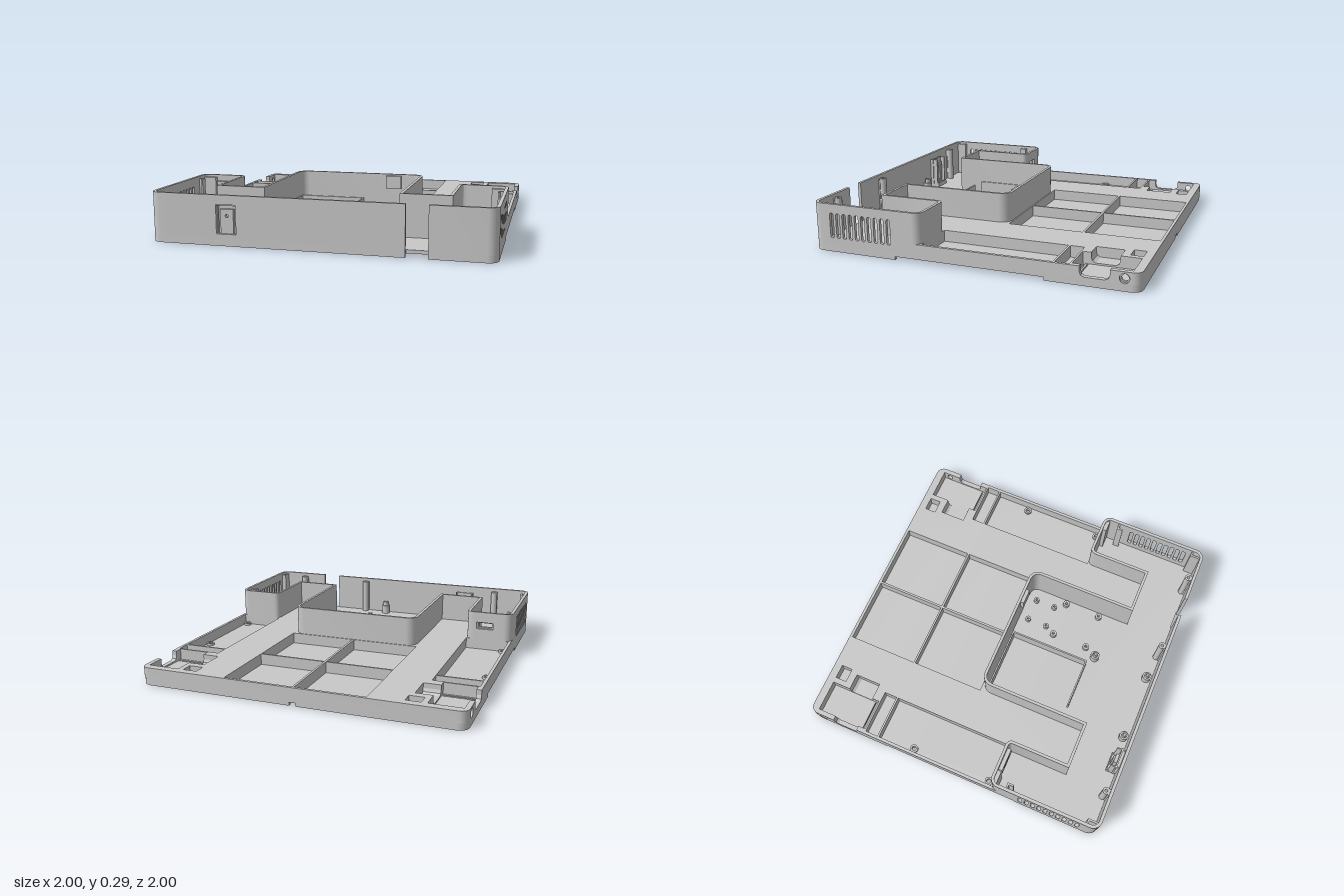
import * as THREE from 'three';
import { toCreasedNormals } from 'three/addons/utils/BufferGeometryUtils.js';

const FLOOR = 0.04, DECK = 0.11, TOP = 0.295;

export function createModel() {
  const model = new THREE.Group();
  model.name = 'enclosureBase';
  const grey = new THREE.MeshStandardMaterial({ color: 0xc8c8c8 });
  grey.name = 'light grey plastic';

  const add = (name, geometry) => {
    const mesh = new THREE.Mesh(toCreasedNormals(geometry, 0.5), grey);
    mesh.name = name;
    model.add(mesh);
    return mesh;
  };

  // Points are [a, b, cornerRadius]; right-angled corners become arcs
  const rounded = (pts, closed) => {
    const out = [];
    pts.forEach(([x, y, r = 0], i) => {
      const p = new THREE.Vector2(x, y);
      if (!r || (!closed && (i === 0 || i === pts.length - 1))) return out.push(p);
      const n = pts.length;
      const toward = (q) => new THREE.Vector2(q[0], q[1]).sub(p).setLength(r).add(p);
      const a = toward(pts[(i + n - 1) % n]), b = toward(pts[(i + 1) % n]);
      for (let k = 0; k <= 8; k++) {
        const t = k / 8, u = (1 - t) ** 2, v = 2 * t * (1 - t) * Math.SQRT1_2, w = t * t;
        out.push(a.clone().multiplyScalar(u).addScaledVector(p, v).addScaledVector(b, w)
          .divideScalar(u + v + w));
      }
    });
    return out;
  };
  // Closed shape, always wound counter-clockwise so that hole walls face inward
  const outline = (pts) => {
    const ps = rounded(pts, true);
    return new THREE.Shape(THREE.ShapeUtils.isClockWise(ps) ? ps.reverse() : ps);
  };
  const rect = (a0, a1, b0, b1) => [[a0, b0], [a1, b0], [a1, b1], [a0, b1]];
  const circle = (x, y, r) => new THREE.Path().absarc(x, y, r, 0, Math.PI * 2);
  const extrude = (shape, depth) =>
    new THREE.ExtrudeGeometry(shape, { depth, bevelEnabled: false, curveSegments: 12 });

  // Horizontal layer: shape lies in x, z
  const slab = (name, shape, y0, y1) =>
    add(name, extrude(shape, y1 - y0).rotateX(Math.PI / 2).translate(0, y1, 0));
  // Side panel: shape lies in z, y; s picks the left or right side
  const sidePanel = (name, shape, s, x0, x1) =>
    add(name, extrude(shape, x1 - x0).rotateY(-Math.PI / 2).translate(s > 0 ? x1 : -x0, 0, 0));
  // Front panel: shape lies in x, y
  const frontPanel = (name, shape, z0, z1) =>
    add(name, extrude(shape, z1 - z0).translate(0, 0, z0));
  const box = (name, x0, x1, y0, y1, z0, z1) =>
    add(name, new THREE.BoxGeometry(Math.abs(x1 - x0), y1 - y0, z1 - z0)
      .translate((x0 + x1) / 2, (y0 + y1) / 2, (z0 + z1) / 2));
  const ring = (name, x, z, ro, ri, y0, y1) => {
    const s = new THREE.Shape().absarc(x, z, ro, 0, Math.PI * 2);
    s.holes.push(circle(x, z, ri));
    return slab(name, s, y0, y1);
  };
  // Upright wall of even thickness along a path in x, z
  const wall = (name, pts, t, y0, y1) => {
    const path = rounded(pts, false), left = [], right = [];
    path.forEach((p, i) => {
      const d0 = p.clone().sub(path[i - 1] ?? p).normalize();
      const d1 = (path[i + 1] ?? p).clone().sub(p).normalize();
      const a = i ? d0 : d1, b = i < path.length - 1 ? d1 : d0;
      const dir = a.clone().add(b).normalize();
      const off = new THREE.Vector2(-dir.y, dir.x).multiplyScalar(t / 2 / dir.dot(a));
      left.push(p.clone().add(off));
      right.unshift(p.clone().sub(off));
    });
    return slab(name, new THREE.Shape([...left, ...right]), y0, y1);
  };
  // A half profile listed on +x, continued by its mirror image
  const mirrored = (half) => [...half, ...half.map(([x, z, r]) => [-x, z, r]).reverse()];

  // Foot rim with gaps at the sides, front and back
  const R = 0.05;
  wall('footRimFront', [[0.99, 0.45], [0.99, 0.99, R], [0.63, 0.99]], 0.02, 0, 0.02);
  wall('footRimFront', [[0.505, 0.99], [-0.99, 0.99, R], [-0.99, 0.45]], 0.02, 0, 0.02);
  for (const s of [1, -1])
    wall('footRimBack', [[s * 0.02, -0.99], [s * 0.99, -0.99, R], [s * 0.99, -0.465]], 0.02, 0, 0.02);

  // Floor plate with screw holes, latch slots and the cable notch
  const floor = outline([[-1, -1, 0.06], [1, -1, 0.06], [1, 1, 0.06], [0.63, 1], [0.63, 0.975],
    [0.505, 0.975], [0.505, 1], [-1, 1, 0.06]]);
  for (const s of [1, -1]) {
    for (const z of [-0.278, 0.253]) floor.holes.push(circle(s * 0.952, z, 0.014));
    floor.holes.push(outline(rect(s * 0.775, s * 0.965, -0.65, -0.643)));
    floor.holes.push(outline(rect(s * 0.775, s * 0.968, -0.632, -0.621)));
  }
  slab('floorPlate', floor, 0.02, FLOOR);

  // Raised deck with latch cut-outs and pockets
  const deck = outline(mirrored([
    [0.42, -0.02, 0.06], [0.42, 0.685], [0.708, 0.685], [0.708, 0.29], [0.982, 0.29],
    [0.982, 0.34], [1, 0.34], [1, -0.663], [0.97, -0.663], [0.97, -0.615], [0.77, -0.615],
    [0.77, -0.663], [0.665, -0.663], [0.665, -0.83], [0.77, -0.83], [0.77, -0.95],
    [1, -0.95], [1, -1, 0.05],
  ]));
  for (const s of [1, -1]) {
    for (const [z0, z1] of [[-0.982, -0.523], [-0.51, -0.036]])
      deck.holes.push(outline(rect(s * 0.007, s * 0.437, z0, z1)));
    for (const [z0, z1] of [[-0.604, -0.52], [-0.508, 0.279]])
      deck.holes.push(outline(rect(s * 0.7, s * 0.981, z0, z1)));
    deck.holes.push(outline(rect(s * 0.645, s * 0.735, -0.95, -0.877)));
  }
  slab('deck', deck, FLOOR, DECK);

  for (const s of [1, -1]) {
    // Latch seat: rounded groove ends and stepped pivot plate
    const groove = new THREE.Shape([[-0.83, FLOOR], [-0.663, FLOOR], [-0.663, 0.08], [-0.67, 0.06],
      [-0.688, 0.05], [-0.805, 0.05], [-0.823, 0.06], [-0.83, 0.08]]
      .map((p) => new THREE.Vector2(...p)));
    sidePanel('latchGroove', groove, s, 0.665, 0.77);
    sidePanel('latchGroove', groove, s, 0.97, 1);
    for (const [r, x0, x1] of [[0.02, 0.97, 0.985], [0.028, 0.985, 1]]) {
      const pivot = outline(rect(-0.95, -0.83, FLOOR, DECK));
      pivot.holes.push(circle(-0.909, 0.072, r));
      sidePanel('latchPivotPlate', pivot, s, x0, x1);
    }

    // Screw bosses in the side pockets
    for (const z of [-0.278, 0.253]) ring('sideScrewBoss', s * 0.952, z, 0.026, 0.014, FLOOR, 0.055);

    // Vented side wall
    const side = outline(rect(0.34, 0.9, FLOOR, TOP));
    for (let i = 0; i < 10; i++) {
      const z = 0.869 - i * 0.0424;
      side.holes.push(new THREE.Path().absarc(z, 0.227, 0.0125, 0, Math.PI)
        .absarc(z, 0.098, 0.0125, Math.PI, Math.PI * 2));
    }
    sidePanel('ventedSideWall', side, s, 0.98, 1);

    // Corner tabs inside the walls
    wall('cornerTab', [[s * 0.98, 0.39], [s * 0.95, 0.39], [s * 0.95, 0.425]], 0.012, FLOOR, 0.28);
    wall('cornerTab', [[s * 0.98, 0.92], [s * 0.955, 0.92], [s * 0.955, 0.98]], 0.012, FLOOR, 0.28);
    box('cornerRail', s * 0.9, s * 0.98, FLOOR, 0.28, 0.297, 0.322);
  }

  // Inner wall that steps round the two bays
  const bay = [[0.75, 0.288], [0.708, 0.288, 0.03], [0.708, 0.685], [0.42, 0.685], [0.42, -0.02, 0.06]];
  wall('bayWall', mirrored(bay), 0.018, FLOOR, TOP);
  wall('bayEndWall', [[0.75, 0.288], [0.991, 0.288, 0.045], [0.991, 0.34]], 0.018, FLOOR, TOP);
  wall('bayEndWall', [[-0.89, 0.288], [-0.991, 0.288, 0.045], [-0.991, 0.34]], 0.018, FLOOR, TOP);

  // Port opening in the right bay
  const port = outline(rect(-0.89, -0.75, FLOOR, TOP));
  port.holes.push(outline(rect(-0.875, -0.765, 0.18, 0.225)));
  frontPanel('portWall', port, 0.279, 0.297);
  const frame = outline(rect(-0.89, -0.745, 0.15, 0.255));
  frame.holes.push(outline(rect(-0.865, -0.775, 0.188, 0.217)));
  frontPanel('portFrame', frame, 0.297, 0.322);
  box('backWallNub', 0.18, 0.28, 0.2, 0.285, -0.015, 0.012);

  // Front wall, with a gap for the cable
  const front = outline(rect(-0.9, 0.505, FLOOR, TOP));
  front.holes.push(outline(rect(-0.587, -0.467, 0.07, 0.24)));
  frontPanel('frontWall', front, 0.98, 1);
  wall('frontCorner', [[0.63, 0.99], [0.99, 0.99, R], [0.99, 0.9]], 0.02, FLOOR, TOP);
  wall('frontCorner', [[-0.9, 0.99], [-0.99, 0.99, R], [-0.99, 0.9]], 0.02, FLOOR, TOP);

  // Recessed switch seat and its holder
  box('switchBackPlate', -0.595, -0.46, 0.06, 0.25, 0.955, 0.965);
  box('switchLip', -0.587, -0.467, 0.232, 0.24, 0.965, 0.99);
  const seat = outline(rect(-0.566, -0.488, 0.07, 0.212));
  seat.holes.push(circle(-0.527, 0.173, 0.01));
  frontPanel('switchSeat', seat, 0.965, 0.985);
  wall('switchHolder', [[-0.587, 0.98], [-0.587, 0.918], [-0.47, 0.918], [-0.47, 0.98]], 0.007, FLOOR, 0.07);
  for (const x of [-0.59, -0.474]) box('switchHolderRib', x, x + 0.007, 0.07, 0.25, 0.925, 0.98);
  box('switchHolderBar', -0.557, -0.5, FLOOR, 0.22, 0.935, 0.955);
  box('switchHolderStem', -0.543, -0.513, FLOOR, 0.2, 0.925, 0.935);

  // Low battery tray
  wall('trayWall', [[-0.405, 0.525], [-0.405, 0.007], [0.022, 0.007], [0.022, 0.533], [-0.3, 0.533]],
    0.01, FLOOR, 0.13);

  // Board standoffs
  for (const x of [0.172, 0.323]) for (const z of [0.053, 0.185])
    ring('smallStandoff', x, z, 0.018, 0.007, FLOOR, 0.07);
  for (const x of [0.138, 0.378]) for (const z of [0.253, 0.492])
    ring('boardStandoff', x, z, 0.022, 0.009, FLOOR, 0.07);
  for (const [x, z] of [[0.094, 0.573], [-0.343, 0.943], [0.094, 0.943]]) {
    ring('steppedPost', x, z, 0.029, 0.01, FLOOR, 0.1);
    ring('steppedPostTip', x, z, 0.018, 0.01, 0.1, 0.13);
  }

  // Tall screw bosses joined to the front wall
  for (const x of [-0.752, 0.267, 0.793]) {
    ring('frontScrewBoss', x, 0.955, 0.022, 0.009, FLOOR, 0.275);
    box('frontBossWeb', x - 0.02, x + 0.02, FLOOR, 0.27, 0.97, 0.985);
  }
  return model;
}
